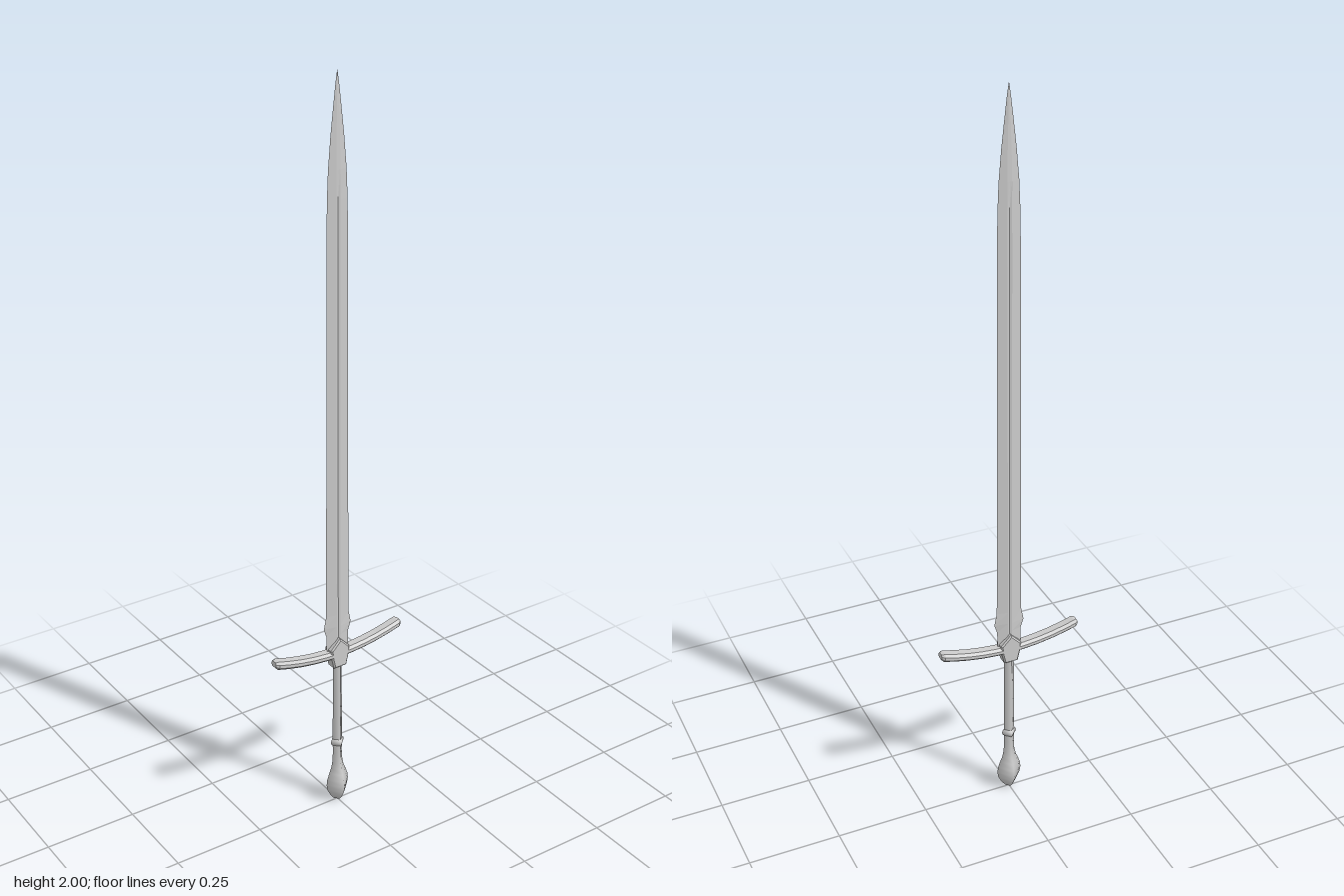
import * as THREE from 'three';

const flatMat = new THREE.MeshStandardMaterial({ color: 0xcccccc, flatShading: true });
const smoothMat = new THREE.MeshStandardMaterial({ color: 0xcccccc });

// Skin a list of equal-length rings (counter-clockwise about the sweep direction) and cap both ends
function loft(rings) {
  const n = rings[0].length, last = (rings.length - 1) * n, index = [];
  for (let i = 0; i < rings.length - 1; i++) {
    for (let j = 0; j < n; j++) {
      const a = i * n + j, b = i * n + (j + 1) % n;
      index.push(a, b, b + n, a, b + n, a + n);
    }
  }
  for (let j = 1; j < n - 1; j++) {
    index.push(0, j + 1, j, last, last + j, last + j + 1);
  }
  const geo = new THREE.BufferGeometry();
  geo.setAttribute('position', new THREE.Float32BufferAttribute(rings.flat(2), 3));
  geo.setIndex(index);
  const flat = geo.toNonIndexed();
  flat.computeVertexNormals();
  return flat;
}

// Blade: flattened diamond section with a narrow fuller; [y, half width, half thickness, fuller depth]
function bladeGeometry() {
  const stations = [
    [0.47, 0.033, 0.0065, 0.002], [0.525, 0.034, 0.0065, 0.002], [0.55, 0.042, 0.0065, 0.002],
    [0.585, 0.035, 0.0065, 0.002], [1.0, 0.033, 0.006, 0.002], [1.58, 0.031, 0.0055, 0.002],
    [1.7, 0.029, 0.005, 0.002], [1.77, 0.026, 0.005, 0], [1.85, 0.019, 0.004, 0],
    [1.92, 0.011, 0.003, 0], [1.97, 0.005, 0.0015, 0], [2.0, 0.0004, 0.0003, 0],
  ];
  return loft(stations.map(([y, w, t, d]) => {
    const f = Math.min(0.006, w * 0.25), g = t - d;
    return [[w, 0], [f, -t], [0, -g], [-f, -t], [-w, 0], [-f, t], [0, g], [f, t]]
      .map(([x, z]) => [x, y, z]);
  }));
}

// Crossguard: chamfered bar bowed upward toward both ends, with bevelled tips
function guardGeometry() {
  const R = 0.197, rings = [];
  const xs = [-R, -0.189, -0.16, -0.12, -0.08, -0.04, 0, 0.04, 0.08, 0.12, 0.16, 0.189, R];
  for (const x of xs) {
    const u = x / R, s = Math.abs(x) === R ? 0.65 : 1;
    const cy = 0.469 + 0.031 * u * u, slope = 0.062 * u / R;
    const h = 0.011 * s, d = 0.017 * s, ch = h * 0.4, cd = d * 0.6;
    const section = [[h, -cd], [h, cd], [ch, d], [-ch, d], [-h, cd], [-h, -cd], [-ch, -d], [ch, -d]];
    rings.push(section.map(([y, z]) => [
      Math.max(-R, Math.min(R, x - y * slope * 0.7)), cy + y, z,
    ]));
  }
  return loft(rings);
}

// Guard centre: pointed shield block with bevelled edges
function blockGeometry() {
  const shape = new THREE.Shape([
    [-0.016, 0.435], [0.016, 0.435], [0.022, 0.46], [0.025, 0.485], [0, 0.511],
    [-0.025, 0.485], [-0.022, 0.46],
  ].map(([x, y]) => new THREE.Vector2(x, y)));
  const geo = new THREE.ExtrudeGeometry(shape, {
    depth: 0.026, bevelEnabled: true, bevelThickness: 0.004, bevelSize: 0.004, bevelSegments: 1,
  });
  return geo.translate(0, 0, -0.013);
}

// Four-sided turned part with its corners on the x and z axes
function turned(profile) {
  return new THREE.LatheGeometry(profile.map(([r, y]) => new THREE.Vector2(r, y)), 4);
}

export function createModel() {
  const group = new THREE.Group();
  const add = (name, geometry, material) => {
    const mesh = new THREE.Mesh(geometry, material);
    mesh.name = name;
    group.add(mesh);
  };

  add('blade', bladeGeometry(), flatMat);
  add('crossguard', guardGeometry(), flatMat);
  add('guardBlock', blockGeometry(), flatMat);
  add('grip', turned([[0.015, 0.19], [0.0145, 0.3], [0.014, 0.445]]), smoothMat);
  add('gripRing', turned([
    [0.014, 0.178], [0.019, 0.183], [0.021, 0.189], [0.019, 0.195], [0.014, 0.2],
  ]), smoothMat);
  add('pommel', turned([
    [0, 0], [0.011, 0.004], [0.023, 0.02], [0.032, 0.038], [0.035, 0.056], [0.033, 0.072],
    [0.027, 0.09], [0.02, 0.107], [0.016, 0.128], [0.0145, 0.155], [0.015, 0.19],
  ]), smoothMat);

  return group;
}
